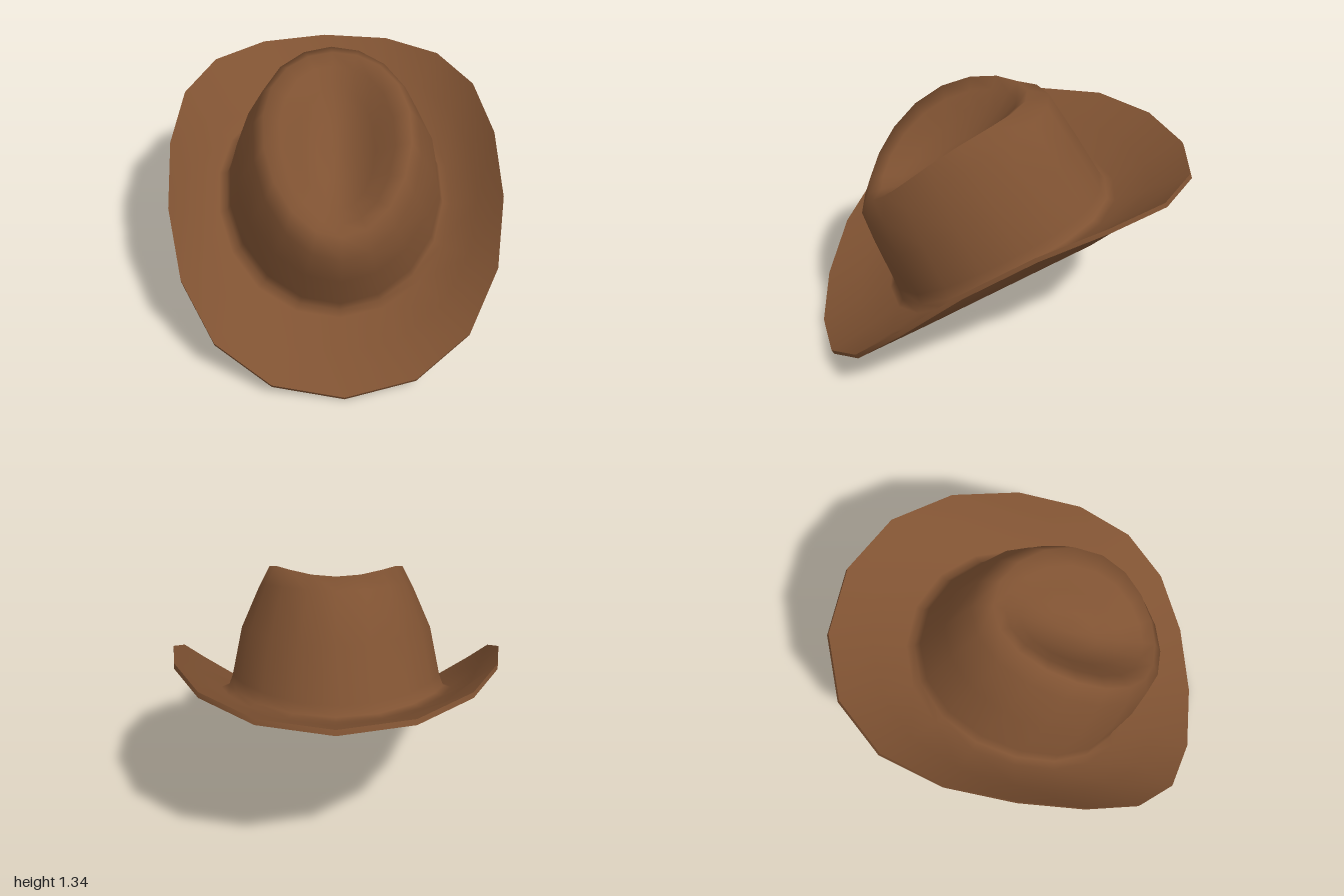
import * as THREE from 'three';
import { mergeVertices } from 'three/addons/utils/BufferGeometryUtils.js';

const SIDES = 18;
const CENTRE_Z = -0.206;

// Smooth skin through oval rings; each ring is
// [half length z, half width x, height, front-back tilt, side lift, side curl]
function skin(rings) {
  const pos = [], idx = [];
  for (const [rz, rx, y, tilt, lift, curl] of rings) {
    for (let j = 0; j < SIDES; j++) {
      const a = (j / SIDES) * Math.PI * 2;
      const s = Math.sin(a), z = rz * Math.cos(a);
      pos.push(rx * s - curl * s ** 3, y - tilt * z + lift * s * s, z + CENTRE_Z);
    }
  }
  for (let i = 0; i < rings.length - 1; i++) {
    for (let j = 0; j < SIDES; j++) {
      const k = (j + 1) % SIDES;
      const a = i * SIDES + j, b = i * SIDES + k;
      const c = a + SIDES, d = b + SIDES;
      idx.push(a, b, c, b, d, c);
    }
  }
  const geo = new THREE.BufferGeometry();
  geo.setAttribute('position', new THREE.Float32BufferAttribute(pos, 3));
  geo.setIndex(idx);
  const merged = mergeVertices(geo, 1e-5);
  merged.computeVertexNormals();
  return merged;
}

export function createModel() {
  const felt = new THREE.MeshStandardMaterial({ color: 0x7f5232 });
  felt.name = 'brown felt';

  // Brim with curled sides
  const brimTop = [
    [1.1, 1.08, 0.452, 0, 0.36, 0.22],
    [0.87, 0.86, 0.448, 0, 0.23, 0.11],
    [0.68, 0.67, 0.445, 0, 0.14, 0.05],
  ];
  const brimUnder = [
    [0.667, 0.66, 0.42, 0, 0.14, 0.05],
    [0.87, 0.86, 0.424, 0, 0.23, 0.11],
    [1.1, 1.08, 0.425, 0, 0.36, 0.22],
  ];

  // Crown wall, shoulder, rim and the dent in the top
  const crown = [
    [0.643, 0.61, 0.465, 0, 0.13, 0.03],
    [0.63, 0.575, 0.52, 0, 0.13, 0.015],
    [0.607, 0.51, 0.78, 0.04, 0.12, 0],
    [0.577, 0.415, 1.01, 0.11, 0.1, 0],
    [0.49, 0.36, 1.09, 0.12, 0.13, 0],
    [0.42, 0.28, 1.075, 0.13, 0.1, 0],
    [0.32, 0.19, 1.035, 0.15, 0.04, 0],
    [0.17, 0.1, 1.0, 0.15, 0.01, 0],
    [0, 0, 0.99, 0, 0, 0],
  ];

  // Inside of the crown, set in by the felt thickness
  const lining = crown.slice(2).map(([rz, rx, y, tilt, lift, curl]) =>
    [Math.max(rz - 0.02, 0), Math.max(rx - 0.02, 0), y - 0.02, tilt, lift, curl]);
  lining.unshift([0.667, 0.66, 0.42, 0, 0.14, 0.05], [0.625, 0.57, 0.5, 0, 0.13, 0.02]);

  const parts = {
    crownAndBrimTop: [...brimTop, ...crown],
    brimEdge: [brimUnder[2], brimTop[0]],
    brimUnderside: brimUnder,
    crownLining: lining.reverse(),
  };

  // The whole hat leans forward
  const hat = new THREE.Group();
  hat.name = 'hat';
  hat.rotation.x = 0.4445;
  for (const [name, rings] of Object.entries(parts)) {
    const mesh = new THREE.Mesh(skin(rings), felt);
    mesh.name = name;
    hat.add(mesh);
  }

  const model = new THREE.Group();
  model.name = 'tiltedHat';
  model.add(hat);
  return model;
}
